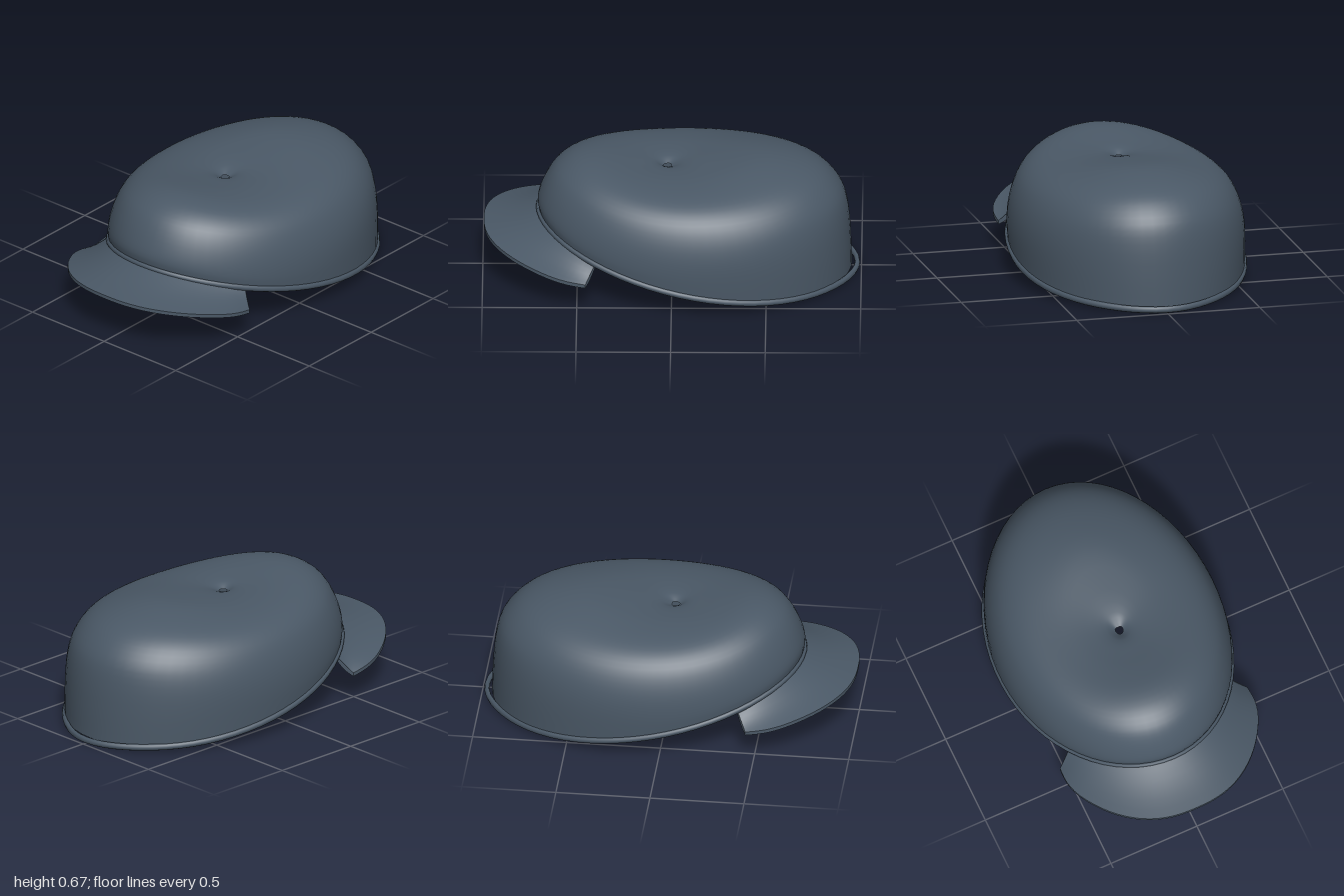
import * as THREE from 'three';
import { toCreasedNormals } from 'three/addons/utils/BufferGeometryUtils.js';

const SEGMENTS = 64;

// Head opening: an oval in plan whose edge rises towards the front
const outline = (a, grow = 0) => [(0.615 + grow) * Math.sin(a), -0.12 + (0.83 + grow) * Math.cos(a)];
const rimHeight = (z) => 0.155 + 0.216 * z + 0.089 * z * z;

// Skin a list of equally long rows of [x, y, z] points
function loft(rows, { wrapRows = false, wrapPoints = false, caps = false } = {}) {
  const n = rows[0].length;
  const index = [];
  for (let i = 0; i < rows.length - (wrapRows ? 0 : 1); i++) {
    const k = (i + 1) % rows.length;
    for (let j = 0; j < n - (wrapPoints ? 0 : 1); j++) {
      const m = (j + 1) % n;
      index.push(i * n + j, k * n + j, k * n + m, i * n + j, k * n + m, i * n + m);
    }
  }
  if (caps) {
    const e = (rows.length - 1) * n;
    for (let j = 1; j < n - 1; j++) index.push(0, j, j + 1, e, e + j + 1, e + j);
  }
  const g = new THREE.BufferGeometry();
  g.setAttribute('position', new THREE.Float32BufferAttribute(rows.flat(2), 3));
  g.setIndex(index);
  g.computeVertexNormals();
  return g;
}

// Crown profiles from the rim to the eyelet: [fraction of outline radius, height]
const FRONT = [[0.99, 0.35], [1, 0.41], [0.97, 0.48], [0.91, 0.56], [0.84, 0.615], [0.72, 0.66],
  [0.57, 0.675], [0.4, 0.663], [0.25, 0.646], [0.1, 0.628], [0.03, 0.6]];
const SIDE = [[0.995, 0.13], [1, 0.25], [0.985, 0.35], [0.945, 0.44], [0.88, 0.515], [0.78, 0.57],
  [0.64, 0.605], [0.45, 0.625], [0.28, 0.63], [0.11, 0.622], [0.033, 0.6]];
const BACK = [[1, 0.03], [0.995, 0.2], [0.98, 0.37], [0.95, 0.475], [0.88, 0.56], [0.8, 0.61],
  [0.68, 0.647], [0.5, 0.67], [0.3, 0.655], [0.1, 0.628], [0.02, 0.6]];

function crownGeometry() {
  const centreZ = -0.025;
  const rows = [];
  for (let i = 0; i < SEGMENTS; i++) {
    const a = (i / SEGMENTS) * Math.PI * 2;
    const [x, z] = outline(a);
    const w = Math.cos(a) ** 2;
    const end = Math.cos(a) > 0 ? FRONT : BACK;
    const points = SIDE.map(([s, y], j) => {
      const r = THREE.MathUtils.lerp(s, end[j][0], w);
      const h = j === 0 ? rimHeight(z) : THREE.MathUtils.lerp(y, end[j][1], w);
      const c = -centreZ; // eyelet sits slightly forward of the middle
      return new THREE.Vector3(x * r, h, c + (z - c) * r);
    });
    rows.push(new THREE.CatmullRomCurve3(points).getPoints(30).map((p) => p.toArray()));
  }
  return loft(rows, { wrapRows: true });
}

// Rolled band around the opening, drawn out to a small point at the back
function bandGeometry() {
  const rows = [];
  for (let i = 0; i < SEGMENTS; i++) {
    const a = (i / SEGMENTS) * Math.PI * 2;
    const row = [];
    const point = 0.033 * Math.max(0, -Math.cos(a)) ** 12;
    for (let j = 0; j < 8; j++) {
      const t = (j / 8) * Math.PI * 2;
      const [x, z] = outline(a, -0.004 + 0.014 * Math.cos(t));
      row.push([x, rimHeight(z) - 0.004 + 0.018 * Math.sin(t), z - point]);
    }
    rows.push(row);
  }
  return loft(rows, { wrapRows: true, wrapPoints: true });
}

// Curved visor: sloping down from the rim, dropping towards its two ends
function visorGeometry() {
  const half = [[0.13, 0.985], [0.25, 0.945], [0.36, 0.87], [0.45, 0.77], [0.52, 0.65], [0.547, 0.55], [0.545, 0.455]];
  const edge = new THREE.SplineCurve([
    ...half.map(([x, z]) => new THREE.Vector2(-x, z)).reverse(),
    new THREE.Vector2(0, 0.995),
    ...half.map(([x, z]) => new THREE.Vector2(x, z)),
  ]);
  const rows = [];
  const across = 6;
  for (let i = 0; i <= 42; i++) {
    const u = i / 42;
    const outer = edge.getPoint(u);
    const [ix, iz] = outline((u * 2 - 1) * 0.88, -0.015);
    const iy = rimHeight(iz) - 0.003;
    const oy = 0.272 + (outer.y - 0.995) * 0.21;
    const at = (v, dy) => [
      THREE.MathUtils.lerp(ix, outer.x, v),
      THREE.MathUtils.lerp(iy, oy, v) - 0.012 * Math.sin(Math.PI * v) + dy,
      THREE.MathUtils.lerp(iz, outer.y, v),
    ];
    const row = [];
    for (let j = 0; j <= across; j++) row.push(at(1 - j / across, 0.01));
    for (let j = 0; j <= across; j++) row.push(at(j / across, -0.01));
    rows.push(row);
  }
  return toCreasedNormals(loft(rows, { wrapPoints: true, caps: true }), 0.8);
}

export function createModel() {
  const cloth = new THREE.MeshStandardMaterial({ color: 0x4a5866, side: THREE.DoubleSide });
  cloth.name = 'slate cloth';
  const cap = new THREE.Group();
  cap.name = 'cap';
  const parts = { crown: crownGeometry(), rimBand: bandGeometry(), visor: visorGeometry() };
  for (const [name, geometry] of Object.entries(parts)) {
    const mesh = new THREE.Mesh(geometry, cloth);
    mesh.name = name;
    cap.add(mesh);
  }
  return cap;
}
